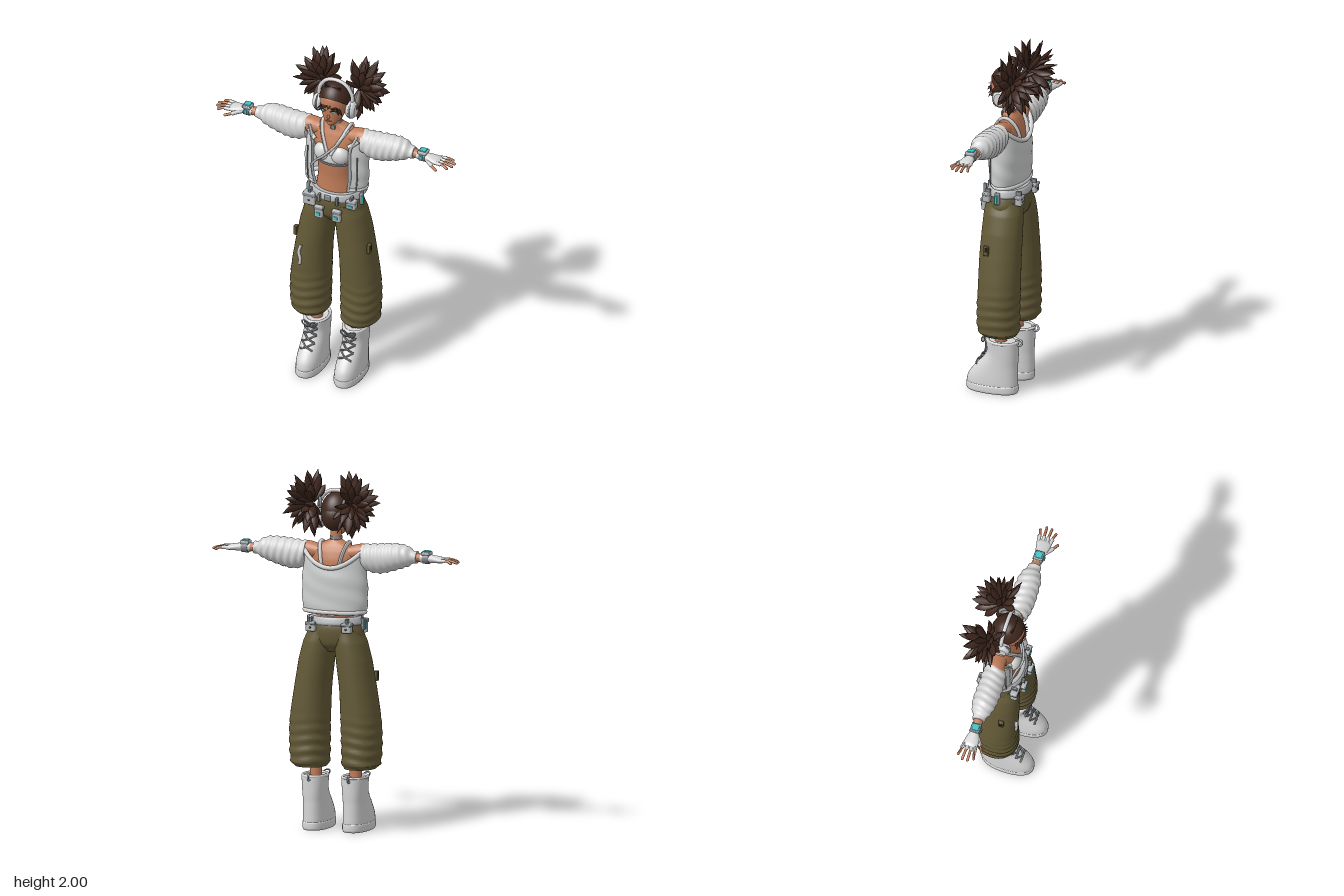
import * as THREE from 'three';
import { mergeGeometries } from 'three/addons/utils/BufferGeometryUtils.js';
import { RoundedBoxGeometry } from 'three/addons/geometries/RoundedBoxGeometry.js';

const V = (x, y, z) => new THREE.Vector3(x, y, z);
const mat = (name, color, side = THREE.FrontSide) => {
  const m = new THREE.MeshStandardMaterial({ color, side });
  m.name = name;
  return m;
};

// Smooth skin through elliptical rings [y, cx, cz, rx, rz], listed from bottom to top.
function loft(rings, { n = 28, sub = 5, arc = [0, Math.PI * 2], p = 2, warp, caps = true } = {}) {
  const open = arc[1] - arc[0] < 6.28, cols = open ? n + 1 : n, rows = (rings.length - 1) * sub + 1;
  const pos = [], idx = [], at = i => rings[Math.min(Math.max(i, 0), rings.length - 1)];
  const pw = v => Math.sign(v) * Math.abs(v) ** (2 / p);
  for (let i = 0; i < rows; i++) {
    const k = Math.min(Math.floor(i / sub), rings.length - 2), f = i / sub - k;
    const r = rings[0].map((_, c) => {
      const [a, b, d, e] = [at(k - 1)[c], at(k)[c], at(k + 1)[c], at(k + 2)[c]];
      if (c === 0) return b + (d - b) * f;
      return b + 0.5 * f * (d - a + f * (2 * a - 5 * b + 4 * d - e + f * (3 * (b - d) + e - a)));
    });
    for (let j = 0; j < cols; j++) {
      const a = arc[0] + (arc[1] - arc[0]) * j / n, t = i / (rows - 1);
      const s = warp ? warp(r[0], a, t) : { m: 1, dy: 0 };
      pos.push(r[1] + r[3] * s.m * pw(Math.sin(a)), r[0] + s.dy, r[2] + r[4] * s.m * pw(Math.cos(a)));
    }
  }
  for (let i = 0; i < rows - 1; i++) for (let j = 0; j < n; j++) {
    const a = i * cols + j, b = i * cols + (j + 1) % cols;
    idx.push(a, b, a + cols, b, b + cols, a + cols);
  }
  if (!open && caps) for (const [row, up] of [[0, false], [rows - 1, true]]) {
    const s = pos.length / 3, ring = pos.slice(row * cols * 3, (row + 1) * cols * 3);
    const r = rings[up ? rings.length - 1 : 0];
    pos.push(...ring, r[1], r[0], r[2]);
    for (let j = 0; j < n; j++) {
      const a = s + j, b = s + (j + 1) % n;
      idx.push(s + n, up ? a : b, up ? b : a);
    }
  }
  const g = new THREE.BufferGeometry();
  g.setAttribute('position', new THREE.Float32BufferAttribute(pos, 3));
  g.setIndex(idx);
  g.computeVertexNormals();
  return g;
}
// Same skin along x, rings [x, cy, cz, ry, rz].
const loftX = (rings, o) => loft(rings.map(([x, y, ...r]) => [x, -y, ...r]), o).rotateZ(-Math.PI / 2);
const tube = (pts, r, seg = 20, n = 7) =>
  new THREE.TubeGeometry(new THREE.CatmullRomCurve3(pts.map(q => V(...q))), seg, r, n);
const ball = (x, y, z, rx, ry, rz) => new THREE.SphereGeometry(1, 20, 14).scale(rx, ry, rz).translate(x, y, z);
const box = (x, y, z, w, h, d, r = 0.006) => new RoundedBoxGeometry(w, h, d, 2, r).translate(x, y, z);
const cyl = (r, h, x, y, z) => new THREE.CylinderGeometry(r, r, h, 24).translate(x, y, z);

// Mirrored copy across x with the corner order turned round.
function flip(geo) {
  const g = geo.clone().scale(-1, 1, 1);
  if (!g.index) g.setIndex([...Array(g.attributes.position.count).keys()]);
  const ix = g.index.array;
  for (let i = 0; i < ix.length; i += 3) [ix[i], ix[i + 1]] = [ix[i + 1], ix[i]];
  g.computeVertexNormals();
  return g;
}
// Leaf-shaped hair lock from base to tip.
function lock(base, tip, w, bend = 0.02) {
  const d = tip.clone().sub(base), L = d.length();
  const g = loft([[0, 0, 0, w * 0.35, w * 0.3], [L * 0.35, 0, bend * 0.6, w * 0.8, w * 0.5],
    [L * 0.62, 0, bend, w, w * 0.5], [L * 0.85, 0, bend * 0.6, w * 0.55, w * 0.3], [L, 0, 0, 0.0008, 0.0008]], { n: 6, sub: 2 });
  return g.applyQuaternion(new THREE.Quaternion().setFromUnitVectors(V(0, 1, 0), d.normalize())).translate(base.x, base.y, base.z);
}

export function createModel() {
  const root = new THREE.Group();
  root.name = 'figure';
  const skin = mat('skin', 0xc07c58), hair = mat('hair brown', 0x3f271e), white = mat('cloth white', 0xd6d6d6),
    jacketMat = mat('jacket white', 0xcfd0d0, THREE.DoubleSide), olive = mat('olive', 0x645a37), grey = mat('grey', 0x85898c),
    light = mat('light grey', 0xb4b7b9), cyan = mat('cyan', 0x3fc3c8), dark = mat('dark', 0x2b2523), lip = mat('lip', 0x8a4a3c);
  const add = (name, geo, m) => {
    const mesh = new THREE.Mesh(geo, m);
    mesh.name = name;
    root.add(mesh);
  };
  const pair = (name, geo, m) => { add(name + 'Left', geo, m); add(name + 'Right', flip(geo), m); };
  let seed = 7;
  const rnd = () => (seed = (seed * 16807) % 2147483647) / 2147483647;

  // Body
  add('torso', loft([[1.12, 0, 0.01, 0.12, 0.09], [1.2, 0, 0.015, 0.112, 0.08], [1.28, 0, 0.02, 0.1, 0.072],
    [1.36, 0, 0.02, 0.105, 0.078], [1.44, 0, 0.015, 0.118, 0.084], [1.5, 0, 0.008, 0.132, 0.076],
    [1.55, 0, 0.005, 0.138, 0.06], [1.585, 0, 0.005, 0.1, 0.045], [1.615, 0, 0.012, 0.036, 0.033]]), skin);
  add('neck', cyl(0.031, 0.12, 0, 1.63, 0.018), skin);
  add('choker', new THREE.CylinderGeometry(0.034, 0.035, 0.014, 24).translate(0, 1.625, 0.018), grey);
  add('chokerPendant', box(0, 1.595, 0.055, 0.026, 0.026, 0.012, 0.004), grey);
  pair('arm', loftX([[0.09, 1.545, 0.005, 0.04, 0.045], [0.15, 1.55, 0.01, 0.047, 0.048], [0.22, 1.548, 0.015, 0.043, 0.043],
    [0.35, 1.542, 0.015, 0.035, 0.035], [0.47, 1.54, 0.017, 0.026, 0.028], [0.53, 1.538, 0.02, 0.021, 0.023]]), skin);
  pair('ankle', cyl(0.034, 0.2, 0.117, 0.34, 0.015), skin);

  // Head and face
  add('head', loft([[1.632, 0, 0.083, 0.012, 0.014], [1.645, 0, 0.07, 0.032, 0.038], [1.67, 0, 0.054, 0.052, 0.057],
    [1.7, 0, 0.045, 0.066, 0.069], [1.75, 0, 0.038, 0.076, 0.08], [1.8, 0, 0.033, 0.074, 0.08],
    [1.84, 0, 0.03, 0.05, 0.056], [1.862, 0, 0.03, 0.008, 0.01]]), skin);
  add('nose', ball(0, 1.697, 0.115, 0.008, 0.013, 0.012), skin);
  add('lips', ball(0, 1.668, 0.108, 0.017, 0.005, 0.006), lip);
  pair('eye', ball(0.031, 1.731, 0.108, 0.015, 0.008, 0.006), white);
  pair('iris', ball(0.031, 1.731, 0.113, 0.006, 0.007, 0.0035), cyan);
  pair('lash', tube([[0.013, 1.736, 0.116], [0.032, 1.742, 0.114], [0.05, 1.735, 0.102]], 0.0025, 8, 5), dark);
  pair('brow', tube([[0.014, 1.756, 0.118], [0.035, 1.761, 0.113], [0.052, 1.754, 0.1]], 0.003, 8, 5), hair);

  // Hair cap, fringe and two spiky bunches
  const cap = new THREE.SphereGeometry(1, 32, 20, 0, Math.PI * 2, 0, Math.PI * 0.56);
  add('hairCap', cap.rotateX(-0.62).scale(0.087, 0.108, 0.092).translate(0, 1.768, 0.03), hair);
  add('napeHair', ball(0, 1.74, -0.015, 0.07, 0.075, 0.055), hair);
  const fringe = [];
  for (let i = -6; i <= 6; i++) {
    const x = i * 0.0115, z = Math.sqrt(Math.max(0, 1 - (x / 0.092) ** 2));
    fringe.push(lock(V(x * 0.6, 1.865, 0.04 + 0.025 * z), V(x * 1.12 + (rnd() - 0.5) * 0.012,
      1.752 - Math.abs(i) ** 2 * 0.0015 + rnd() * 0.022, 0.05 + 0.083 * z), 0.015, 0.024));
  }
  add('fringe', mergeGeometries(fringe), hair);
  const bunch = [], base = V(0.115, 1.82, -0.05), count = 62;
  for (let i = 0; i < count; i++) {
    const y = 1 - 2 * (i + 0.5) / count, r = Math.sqrt(1 - y * y), a = i * 2.39996;
    const d = V(r * Math.cos(a), y, r * Math.sin(a));
    if (d.x < -0.6 || d.z > 0.72) continue;
    const s = 0.8 + 0.27 * rnd(), inward = d.x < 0 ? 0.62 : 1, ahead = d.z > 0 ? 0.8 : 1;
    const tip = base.clone().add(V(d.x * 0.165 * inward, d.y * 0.185, d.z * 0.17 * ahead).multiplyScalar(s));
    bunch.push(lock(base.clone().addScaledVector(d, 0.012), tip, 0.021 + 0.007 * rnd(), 0.02 * (rnd() - 0.4)));
  }
  pair('hairBunch', mergeGeometries(bunch), hair);
  pair('hairTie', new THREE.TorusGeometry(0.024, 0.009, 8, 20).rotateY(Math.PI / 2 + 0.5).translate(0.078, 1.82, -0.025), grey);

  // Headphones
  add('headband', tube([[-0.1, 1.75, 0.02], [-0.098, 1.81, 0.02], [-0.06, 1.868, 0.02], [0, 1.886, 0.02],
    [0.06, 1.868, 0.02], [0.098, 1.81, 0.02], [0.1, 1.75, 0.02]], 0.011, 40, 10), white);
  pair('earCup', loftX([[0.076, 1.722, 0.025, 0.042, 0.036], [0.086, 1.722, 0.025, 0.051, 0.044],
    [0.112, 1.722, 0.025, 0.05, 0.043], [0.126, 1.722, 0.025, 0.036, 0.03]]), white);
  pair('earCupRing', new THREE.TorusGeometry(0.046, 0.006, 8, 28).rotateY(Math.PI / 2).translate(0.1, 1.722, 0.025), grey);

  // Cropped top with straps
  add('topBand', loft([[1.378, 0, 0.02, 0.109, 0.083], [1.41, 0, 0.018, 0.117, 0.087], [1.45, 0, 0.014, 0.123, 0.087]]), white);
  pair('topCup', ball(0.05, 1.436, 0.07, 0.056, 0.056, 0.046), white);
  add('topHem', loft([[1.372, 0, 0.02, 0.112, 0.087], [1.386, 0, 0.02, 0.114, 0.089]], { sub: 1 }), grey);
  pair('shoulderStrap', tube([[0.01, 1.445, 0.108], [0.035, 1.5, 0.09], [0.062, 1.555, 0.062], [0.08, 1.6, 0.02],
    [0.08, 1.598, -0.015], [0.064, 1.54, -0.06], [0.045, 1.44, -0.078]], 0.0105, 36), white);
  add('crossStrap', tube([[0.09, 1.59, 0.035], [0.03, 1.5, 0.1], [-0.03, 1.435, 0.122], [-0.085, 1.38, 0.1], [-0.12, 1.33, 0.085]], 0.007, 30), light);

  // Off-shoulder jacket with open front
  const topEdge = a => 0.095 * Math.sin(a) ** 2;
  const body = [[1.21, 0, 0, 0.165, 0.082], [1.235, 0, 0.002, 0.186, 0.095], [1.33, 0, 0.002, 0.19, 0.097],
    [1.41, 0, 0, 0.184, 0.096], [1.47, 0, 0, 0.174, 0.09]];
  const A = 0.62, arc = [A, Math.PI * 2 - A];
  add('jacketBody', loft(body, { n: 40, arc, warp: (y, a, t) => ({ m: 1 + 0.012 * Math.sin(y * 70 + 3 * a), dy: t ** 3 * topEdge(a) }) }), jacketMat);
  const rim = (y, rx, rz, lift) => Array.from({ length: 25 }, (_, i) => {
    const a = arc[0] + (arc[1] - arc[0]) * i / 24;
    return [rx * Math.sin(a), y + lift * topEdge(a), rz * Math.cos(a)];
  });
  add('jacketHem', tube(rim(1.22, 0.174, 0.087, 0), 0.013, 60, 8), white);
  add('jacketCollar', tube(rim(1.468, 0.174, 0.09, 1), 0.013, 60, 8), white);
  pair('jacketPlacket', tube([[0.1, 1.21, 0.072], [0.113, 1.3, 0.08], [0.112, 1.4, 0.08], [0.115, 1.49, 0.078], [0.145, 1.57, 0.05]], 0.009, 24), light);
  pair('jacketSeam', tube([[0.145, 1.225, 0.066], [0.152, 1.32, 0.064], [0.15, 1.44, 0.062]], 0.004, 14), grey);
  pair('sleeve', loftX([[0.165, 1.53, 0.01, 0.066, 0.06], [0.2, 1.522, 0.012, 0.076, 0.066], [0.26, 1.521, 0.015, 0.082, 0.068],
    [0.33, 1.531, 0.015, 0.077, 0.068], [0.39, 1.54, 0.015, 0.067, 0.063], [0.43, 1.541, 0.015, 0.053, 0.051],
    [0.455, 1.54, 0.016, 0.036, 0.038], [0.478, 1.54, 0.017, 0.033, 0.034]], {
    n: 36, sub: 8, warp: (x, a) => ({ m: 1 + 0.045 * Math.sin(x * 150 + 1.5 * Math.sin(a * 2)), dy: 0 }) }), white);

  // Gloves, fingers and wrist devices
  pair('glove', loftX([[0.5, 1.538, 0.02, 0.025, 0.027], [0.55, 1.537, 0.02, 0.023, 0.027], [0.585, 1.535, 0.021, 0.02, 0.037],
    [0.62, 1.532, 0.02, 0.017, 0.041], [0.637, 1.53, 0.02, 0.011, 0.038]]), white);
  const fingers = [], gloves = [];
  [[-0.012, -0.026, 0.69], [0.01, 0.004, 0.712], [0.031, 0.034, 0.71], [0.05, 0.064, 0.692]].forEach(([z0, z1, x1]) => {
    fingers.push(tube([[0.625, 1.531, z0], [0.665, 1.534, (z0 + z1) / 2], [x1, 1.524, z1]], 0.0075, 8), ball(x1, 1.524, z1, 0.0085, 0.0075, 0.0075));
    gloves.push(tube([[0.61, 1.531, z0], [0.635, 1.533, z0 * 0.8 + z1 * 0.2], [0.657, 1.534, (z0 + z1) / 2]], 0.0105, 6));
  });
  fingers.push(tube([[0.57, 1.53, 0.045], [0.605, 1.522, 0.072], [0.638, 1.515, 0.092]], 0.008, 8), ball(0.638, 1.515, 0.092, 0.008, 0.008, 0.008));
  gloves.push(tube([[0.555, 1.532, 0.035], [0.585, 1.527, 0.057], [0.608, 1.521, 0.074]], 0.012, 6));
  pair('fingers', mergeGeometries(fingers), skin);
  pair('gloveFingers', mergeGeometries(gloves), white);
  pair('wristBand', new THREE.CylinderGeometry(0.031, 0.031, 0.036, 24).rotateZ(Math.PI / 2).translate(0.532, 1.538, 0.02), grey);
  pair('wristDevice', box(0.532, 1.565, 0.02, 0.052, 0.02, 0.054), light);
  pair('wristScreen', box(0.532, 1.576, 0.02, 0.038, 0.008, 0.04, 0.003), cyan);
  pair('wristLight', box(0.532, 1.545, 0.053, 0.02, 0.02, 0.006, 0.002), cyan);

  // Baggy trousers
  pair('trouserLeg', loft([[0.35, 0.143, 0.012, 0.088, 0.1], [0.375, 0.15, 0.015, 0.105, 0.116], [0.5, 0.152, 0.015, 0.111, 0.118],
    [0.62, 0.148, 0.012, 0.11, 0.117], [0.8, 0.131, 0.012, 0.1, 0.117], [0.95, 0.109, 0.01, 0.096, 0.114],
    [1.05, 0.09, 0.01, 0.088, 0.11], [1.12, 0.075, 0.01, 0.075, 0.1]], { n: 40, sub: 12, p: 2.15,
    warp: (y, a) => ({ m: 1 + 0.03 * Math.max(0, 1 - Math.max(0, y - 0.48) / 0.2) * Math.sin(y * 105 + 1.2 * Math.sin(a + 1) + 0.6 * Math.sin(3 * a)), dy: 0 }) }), olive);
  add('trouserHips', loft([[1.0, 0, 0.01, 0.06, 0.07], [1.04, 0, 0.01, 0.14, 0.1], [1.09, 0, 0.01, 0.164, 0.111],
    [1.14, 0, 0.01, 0.152, 0.111], [1.19, 0, 0.012, 0.13, 0.098]], { n: 36 }), olive);
  pair('trouserPatch', box(0.222, 0.86, 0.06, 0.02, 0.055, 0.03, 0.004), olive);
  pair('patchButton', box(0.231, 0.87, 0.06, 0.008, 0.03, 0.012, 0.002), dark);
  add('thighStrap', tube([[-0.16, 0.82, 0.127], [-0.172, 0.77, 0.132], [-0.165, 0.73, 0.131], [-0.168, 0.69, 0.128]], 0.009, 16), white);

  // Belt, pouches and charms
  add('belt', loft([[1.15, 0, 0.01, 0.152, 0.115], [1.16, 0, 0.01, 0.156, 0.119], [1.185, 0, 0.01, 0.147, 0.113], [1.195, 0, 0.01, 0.138, 0.106]], { n: 36 }), light);
  add('beltBuckle', box(0, 1.172, 0.13, 0.04, 0.036, 0.012), grey);
  for (const [x, y, z, w, h, d, lamp] of [[-0.115, 1.13, 0.105, 0.07, 0.08, 0.04, 0], [-0.047, 1.075, 0.135, 0.048, 0.075, 0.025, 1],
    [0.06, 1.075, 0.135, 0.05, 0.075, 0.025, 1], [0.13, 1.145, 0.09, 0.055, 0.055, 0.04, 1],
    [-0.105, 1.14, -0.09, 0.055, 0.055, 0.04, 0], [0.105, 1.14, -0.09, 0.055, 0.055, 0.04, 0]]) {
    add('pouch', box(x, y, z, w, h, d, 0.008), light);
    add('pouchFlap', box(x, y + h * 0.32, z, w + 0.006, h * 0.3, d + 0.006), grey);
    if (lamp) add('pouchLight', box(x, y - h * 0.12, z + d / 2 + 0.002, w * 0.5, h * 0.26, 0.007, 0.002), cyan);
    else add('pouchStud', ball(x, y - h * 0.1, z + Math.sign(z) * d / 2, 0.006, 0.006, 0.004), dark);
    add('pouchLoop', box(x, 1.165, z * 0.97, 0.014, 0.05, d * 0.8, 0.003), grey);
  }
  pair('hipClip', box(0.158, 1.15, 0.02, 0.018, 0.07, 0.03), grey);
  pair('hipLight', box(0.168, 1.145, 0.025, 0.008, 0.05, 0.016, 0.002), cyan);

  // Boots
  pair('boot', loft([[0.03, 0.117, 0.065, 0.07, 0.146], [0.055, 0.117, 0.065, 0.072, 0.147], [0.09, 0.117, 0.06, 0.071, 0.142],
    [0.125, 0.117, 0.048, 0.069, 0.13], [0.16, 0.117, 0.033, 0.067, 0.115], [0.2, 0.117, 0.014, 0.066, 0.098],
    [0.24, 0.117, 0.004, 0.067, 0.089], [0.3, 0.117, 0.006, 0.07, 0.092]], { n: 36, p: 2.3 }), white);
  pair('bootSole', loft([[0, 0.117, 0.065, 0.07, 0.145], [0.01, 0.117, 0.065, 0.075, 0.15], [0.04, 0.117, 0.065, 0.075, 0.15], [0.047, 0.117, 0.065, 0.071, 0.146]],
    { n: 36, p: 2.3 }), white);
  pair('bootCuff', new THREE.TorusGeometry(1, 0.12, 10, 36).rotateX(Math.PI / 2).scale(0.066, 0.075, 0.086).translate(0.117, 0.3, 0.006), white);
  const front = y => 0.1 + Math.max(0, 0.235 - y) * 0.72;
  const laces = [];
  for (let i = 0; i < 4; i++) for (const s of [-1, 1]) {
    const y0 = 0.15 + i * 0.037, y1 = y0 + 0.037;
    laces.push(tube([[0.117 - s * 0.038, y0, front(y0) - 0.012], [0.117, (y0 + y1) / 2, front((y0 + y1) / 2) + 0.004], [0.117 + s * 0.038, y1, front(y1) - 0.012]], 0.005, 8, 6));
  }
  for (const s of [-1, 1]) laces.push(new THREE.TorusGeometry(0.017, 0.004, 6, 16).scale(1.3, 0.8, 1).rotateZ(s * 0.5).translate(0.117 + s * 0.024, 0.298, 0.112));
  pair('laces', mergeGeometries(laces), grey);
  pair('bootPullTab', new THREE.TorusGeometry(0.018, 0.006, 8, 18).rotateY(Math.PI / 2).translate(0.117, 0.3, -0.092), light);
  return root;
}
